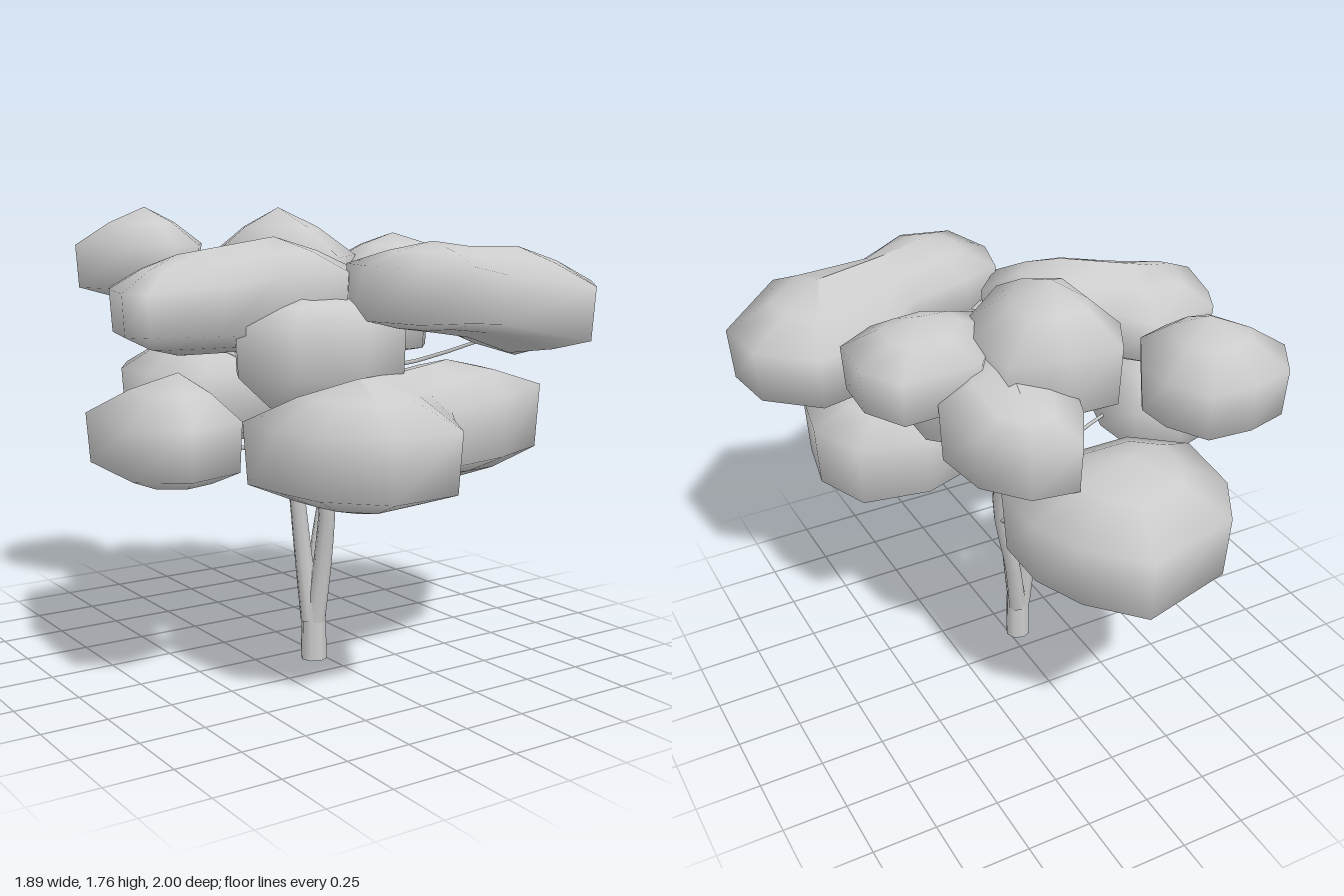
import * as THREE from 'three';
import { mergeVertices } from 'three/addons/utils/BufferGeometryUtils.js';

const grey = new THREE.MeshStandardMaterial({ color: 0xcccccc });
const mix = THREE.MathUtils.lerp;

// Closest point on a spine of [x, z, bottom, rimLow, rimHigh, top] entries
function nearestOnSpine(spine, x, z) {
  let best = spine[0];
  let bestD = Infinity;
  for (let i = 0; i < spine.length; i++) {
    const a = spine[i];
    const b = spine[Math.min(i + 1, spine.length - 1)];
    const dx = b[0] - a[0];
    const dz = b[1] - a[1];
    const len2 = dx * dx + dz * dz || 1;
    const t = THREE.MathUtils.clamp(((x - a[0]) * dx + (z - a[1]) * dz) / len2, 0, 1);
    const p = a.map((v, k) => mix(v, b[k], t));
    const d = Math.hypot(x - p[0], z - p[1]);
    if (d < bestD) [best, bestD] = [p, d];
  }
  return best;
}

// Leaf clump: rings that swell from the spine out to a plan outline and back
function clump(name, spine, outline) {
  const plan = outline.map(([x, z]) => new THREE.Vector2(x, z));
  if (THREE.ShapeUtils.area(plan) > 0) plan.reverse();
  const n = plan.length;
  const pos = [];
  const index = [];
  const rings = 6;
  for (let j = 0; j < rings; j++) {
    const k = [0, 0.52, 0.96, 1, 0.52, 0][j];
    for (const { x, y: z } of plan) {
      const [sx, sz, bottom, low, high, top] = nearestOnSpine(spine, x, z);
      const y = [bottom, mix(low, bottom, 0.6), low, high, mix(high, top, 0.58), top][j];
      pos.push(mix(sx, x, k), y, mix(sz, z, k));
    }
  }
  for (let j = 0; j < rings - 1; j++) {
    for (let i = 0; i < n; i++) {
      const a = j * n + i;
      const b = j * n + ((i + 1) % n);
      index.push(a, b, b + n, a, b + n, a + n);
    }
  }
  let geo = new THREE.BufferGeometry();
  geo.setAttribute('position', new THREE.Float32BufferAttribute(pos, 3));
  geo.setIndex(index);
  geo = mergeVertices(geo, 1e-4);
  geo.computeVertexNormals();
  const mesh = new THREE.Mesh(geo, grey);
  mesh.name = name;
  return mesh;
}

// Tapered limb swept along a curve
function limb(name, pts, r0, r1, sides = 8, steps = 10) {
  const curve = new THREE.CatmullRomCurve3(pts.map((q) => new THREE.Vector3(...q)));
  const geo = new THREE.TubeGeometry(curve, steps, 1, sides);
  const p = geo.attributes.position;
  const n = geo.attributes.normal;
  const c = new THREE.Vector3();
  for (let i = 0; i < p.count; i++) {
    const t = Math.floor(i / (sides + 1)) / steps;
    const r = mix(r0, r1, t);
    curve.getPointAt(t, c);
    p.setXYZ(i, c.x + n.getX(i) * r, c.y + n.getY(i) * r, c.z + n.getZ(i) * r);
  }
  const mesh = new THREE.Mesh(geo, grey);
  mesh.name = name;
  return mesh;
}

export function createModel() {
  const tree = new THREE.Group();
  tree.name = 'tree';

  // Trunk
  const trunk = new THREE.Mesh(new THREE.CylinderGeometry(0.048, 0.052, 0.24, 8), grey);
  trunk.name = 'trunk';
  trunk.position.set(-0.04, 0.12, 0.1);
  tree.add(trunk);

  // Three main branches
  tree.add(
    limb('backBranch', [[-0.03, 0.16, 0.085], [0.01, 0.4, 0.05], [0.1, 0.76, -0.01], [0.16, 1.2, -0.17]], 0.038, 0.018),
    limb('frontBranch', [[-0.04, 0.16, 0.11], [-0.03, 0.42, 0.15], [-0.04, 0.66, 0.19], [-0.08, 0.8, 0.2], [-0.1, 1.25, 0.25]], 0.04, 0.022),
    limb('sideBranch', [[-0.055, 0.16, 0.1], [-0.08, 0.45, 0.08], [-0.11, 0.7, 0.08], [-0.2, 1.28, 0.08]], 0.04, 0.02),
  );

  // Thin twigs reaching into the clumps
  const twigs = [
    [[0.09, 0.7, -0.02], [0.06, 0.8, -0.2], [0, 0.9, -0.5]],
    [[-0.1, 0.72, 0.08], [-0.02, 0.78, -0.08], [0, 0.86, -0.45]],
    [[0.09, 0.7, -0.02], [0.03, 0.75, 0.15], [-0.1, 0.85, 0.6]],
    [[-0.07, 0.76, 0.2], [0.1, 0.82, 0.3], [0.3, 0.95, 0.4]],
    [[-0.11, 0.75, 0.09], [-0.3, 0.86, 0.15], [-0.6, 0.95, 0.2]],
    [[-0.13, 0.9, 0.08], [0.02, 1.1, -0.08], [0.1, 1.2, -0.2]],
    [[0.14, 1.1, -0.12], [0.35, 1.15, 0.15], [0.6, 1.3, 0.5]],
    [[-0.1, 1.1, 0.22], [-0.35, 1.2, 0.2], [-0.65, 1.35, 0.12]],
  ];
  for (const pts of twigs) tree.add(limb('twig', pts, 0.011, 0.006, 5, 6));

  // Lower leaf layer
  tree.add(
    clump('lowerBackClump',
      [[-0.1, -0.62, 0.76, 0.86, 1.1, 1.28]],
      [[-0.35, -0.9], [0.03, -1], [0.2, -0.81], [0.28, -0.61], [0.28, -0.38], [0.05, -0.26], [-0.32, -0.26], [-0.5, -0.41], [-0.47, -0.7]]),
    clump('lowerSideClump',
      [[-0.66, 0.17, 0.77, 0.86, 1.04, 1.19]],
      [[-0.92, -0.05], [-0.95, 0.38], [-0.78, 0.5], [-0.55, 0.43], [-0.48, 0.2], [-0.5, -0.05], [-0.68, -0.12]]),
    clump('lowerFrontClump',
      [[-0.23, 0.66, 0.72, 0.82, 1.04, 1.19], [0.08, 0.52, 0.8, 0.86, 1.06, 1.18], [0.38, 0.38, 0.72, 0.86, 1.1, 1.19]],
      [[-0.55, 0.43], [-0.53, 0.62], [-0.49, 0.81], [-0.31, 1], [-0.04, 1], [0.03, 0.87], [0.12, 0.74], [0.4, 0.71],
        [0.66, 0.6], [0.71, 0.35], [0.62, 0.12], [0.35, 0.07], [0.12, 0.15], [-0.05, 0.32], [-0.3, 0.35]]),
  );

  // Middle clumps joining the layers
  tree.add(
    clump('middleFrontClump',
      [[-0.28, 0.4, 1, 1.18, 1.36, 1.47], [-0.05, 0.38, 1, 1.16, 1.38, 1.46]],
      [[-0.53, 0.35], [-0.42, 0.56], [-0.16, 0.63], [0.06, 0.55], [0.12, 0.3], [-0.1, 0.2], [-0.25, 0.16], [-0.45, 0.2]]),
    clump('middleCoreClump',
      [[0.05, 0.15, 1.2, 1.24, 1.44, 1.52], [0.2, -0.1, 1.16, 1.22, 1.46, 1.56]],
      [[-0.25, -0.1], [-0.05, -0.32], [0.25, -0.3], [0.45, -0.1], [0.45, 0.18], [0.28, 0.38], [0.03, 0.38], [-0.2, 0.28]]),
  );

  // Upper leaf layer
  tree.add(
    clump('upperLoneClump',
      [[-0.38, -0.64, 1.38, 1.44, 1.61, 1.76]],
      [[-0.66, -0.7], [-0.56, -0.86], [-0.4, -0.9], [-0.23, -0.885], [-0.15, -0.74], [-0.14, -0.6], [-0.25, -0.42], [-0.38, -0.38], [-0.53, -0.42]]),
    clump('upperBackClump',
      [[0.18, -0.2, 1.16, 1.22, 1.46, 1.58], [0.22, -0.42, 1.14, 1.2, 1.39, 1.5]],
      [[-0.01, -0.45], [0.1, -0.64], [0.28, -0.61], [0.41, -0.45], [0.45, -0.24], [0.35, -0.05], [0.05, -0.05], [-0.06, -0.25]]),
    clump('upperCrownClump',
      [[-0.05, -0.14, 1.22, 1.35, 1.58, 1.76]],
      [[-0.28, -0.24], [-0.19, -0.41], [0.02, -0.4], [0.24, -0.36], [0.24, -0.1], [0.17, 0.07], [-0.03, 0.25], [-0.28, 0.12]]),
    clump('upperCornerClump',
      [[0.4, 0, 1.28, 1.38, 1.55, 1.66]],
      [[0.1, 0], [0.27, -0.23], [0.58, -0.24], [0.67, -0.08], [0.66, 0.12], [0.5, 0.22], [0.28, 0.24], [0.12, 0.15]]),
    clump('upperSideClump',
      [[-0.62, 0.1, 1.24, 1.33, 1.48, 1.6], [-0.28, 0.2, 1.25, 1.33, 1.54, 1.66]],
      [[-0.9, 0.23], [-0.84, 0], [-0.78, -0.12], [-0.48, -0.18], [-0.38, -0.06], [-0.1, -0.1], [0, 0.1], [0, 0.32],
        [-0.13, 0.46], [-0.38, 0.43], [-0.58, 0.38], [-0.84, 0.31]]),
    clump('upperFrontClump',
      [[0.1, 0.64, 1.33, 1.38, 1.57, 1.65], [0.35, 0.6, 1.29, 1.35, 1.52, 1.62], [0.58, 0.54, 1.21, 1.28, 1.48, 1.62]],
      [[-0.11, 0.84], [0.085, 0.89], [0.32, 0.79], [0.64, 0.9], [0.94, 0.57], [0.91, 0.34], [0.72, 0.17], [0.48, 0.22],
        [0.26, 0.37], [0.03, 0.37], [-0.12, 0.43], [-0.17, 0.62]]),
  );

  return tree;
}
